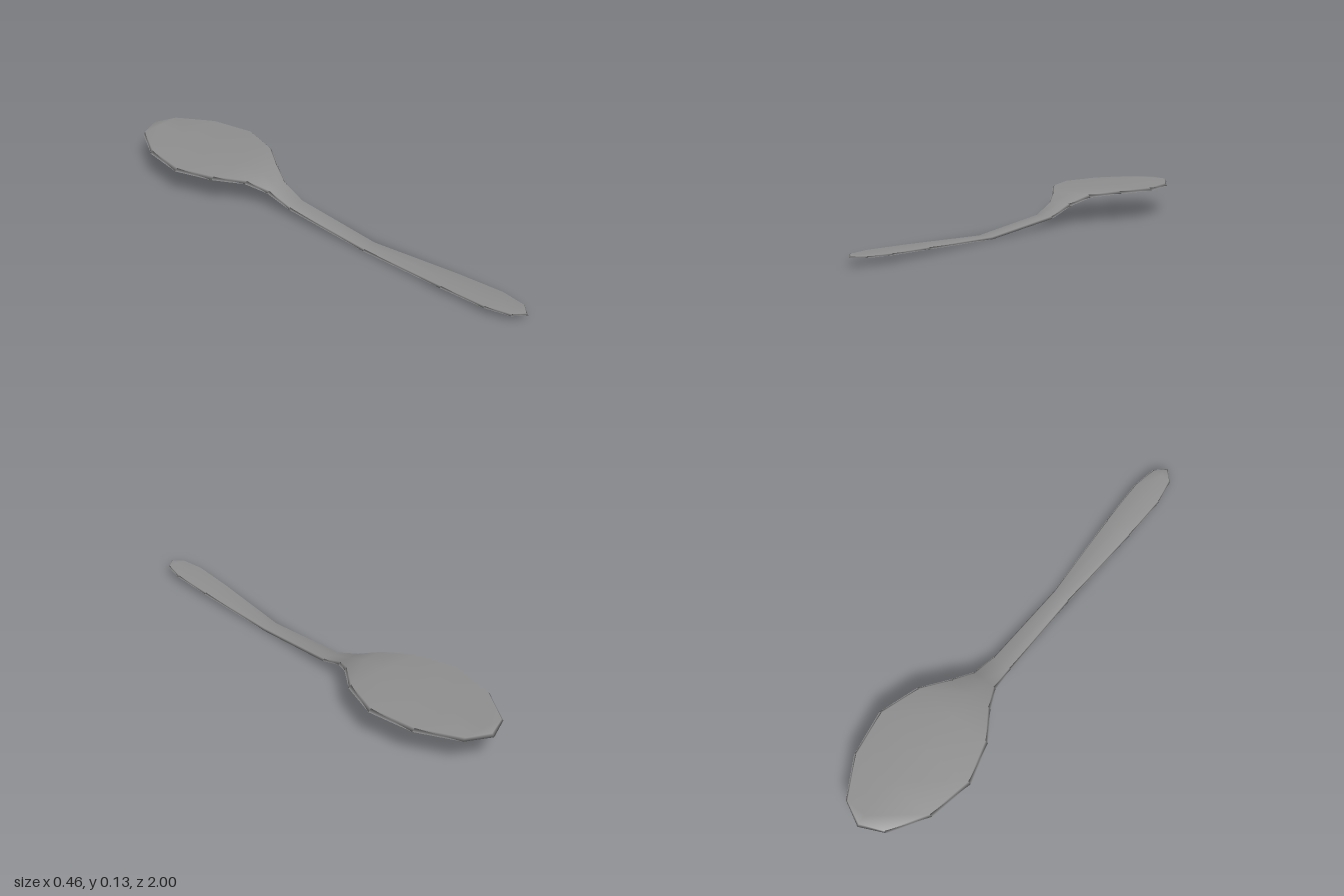
import * as THREE from 'three';
import { mergeVertices } from 'three/addons/utils/BufferGeometryUtils.js';

// Cross-sections from bowl tip to handle end:
// z, half width, underside height, thickness, inset of the upper edge
const sections = [
  [-1.00, 0, 0.118, 0.012, 0],
  [-0.95, 0.102, 0.118, 0.012, 0.010],
  [-0.795, 0.196, 0.118, 0.012, 0.011],
  [-0.605, 0.231, 0.118, 0.012, 0.012],
  [-0.44, 0.180, 0.117, 0.012, 0.012],
  [-0.325, 0.100, 0.107, 0.011, 0.012],
  [-0.24, 0.056, 0.076, 0.010, 0.010],
  [-0.13, 0.043, 0.036, 0.009, 0.006],
  [0.26, 0.038, 0.001, 0.008, 0.006],
  [0.65, 0.060, 0.018, 0.007, 0.006],
  [0.85, 0.065, 0.026, 0.006, 0.006],
  [0.955, 0.046, 0.029, 0.006, 0.007],
  [1.00, 0, 0.030, 0.005, 0],
];

// Closed skin around six-point rings: three on top, three underneath
function loftSpoon() {
  const positions = [];
  const index = [];
  const last = sections.length - 1;
  sections.forEach(([z, w, y, t, inset], i) => {
    const topW = w - inset;
    // the upper edge is set back at both tips as well
    const topZ = z + (i === 0 ? 0.01 : i === last ? -0.01 : 0);
    positions.push(
      -topW, y + t, topZ, 0, y + t, topZ, topW, y + t, topZ,
      w, y, z, 0, y, z, -w, y, z,
    );
    if (i === last) return;
    for (let k = 0; k < 6; k++) {
      const a = i * 6 + k;
      const b = i * 6 + (k + 1) % 6;
      index.push(a, a + 6, b, b, a + 6, b + 6);
    }
  });
  const geometry = new THREE.BufferGeometry();
  geometry.setAttribute('position', new THREE.Float32BufferAttribute(positions, 3));
  geometry.setIndex(index);
  const merged = mergeVertices(geometry);
  merged.computeVertexNormals();
  return merged;
}

export function createModel() {
  const model = new THREE.Group();
  model.name = 'spoon';
  const steel = new THREE.MeshStandardMaterial({ color: 0x909090 });
  steel.name = 'steel grey';

  // Bowl and handle form one continuous skin
  const body = new THREE.Mesh(loftSpoon(), steel);
  body.name = 'bowlAndHandle';
  model.add(body);
  return model;
}
